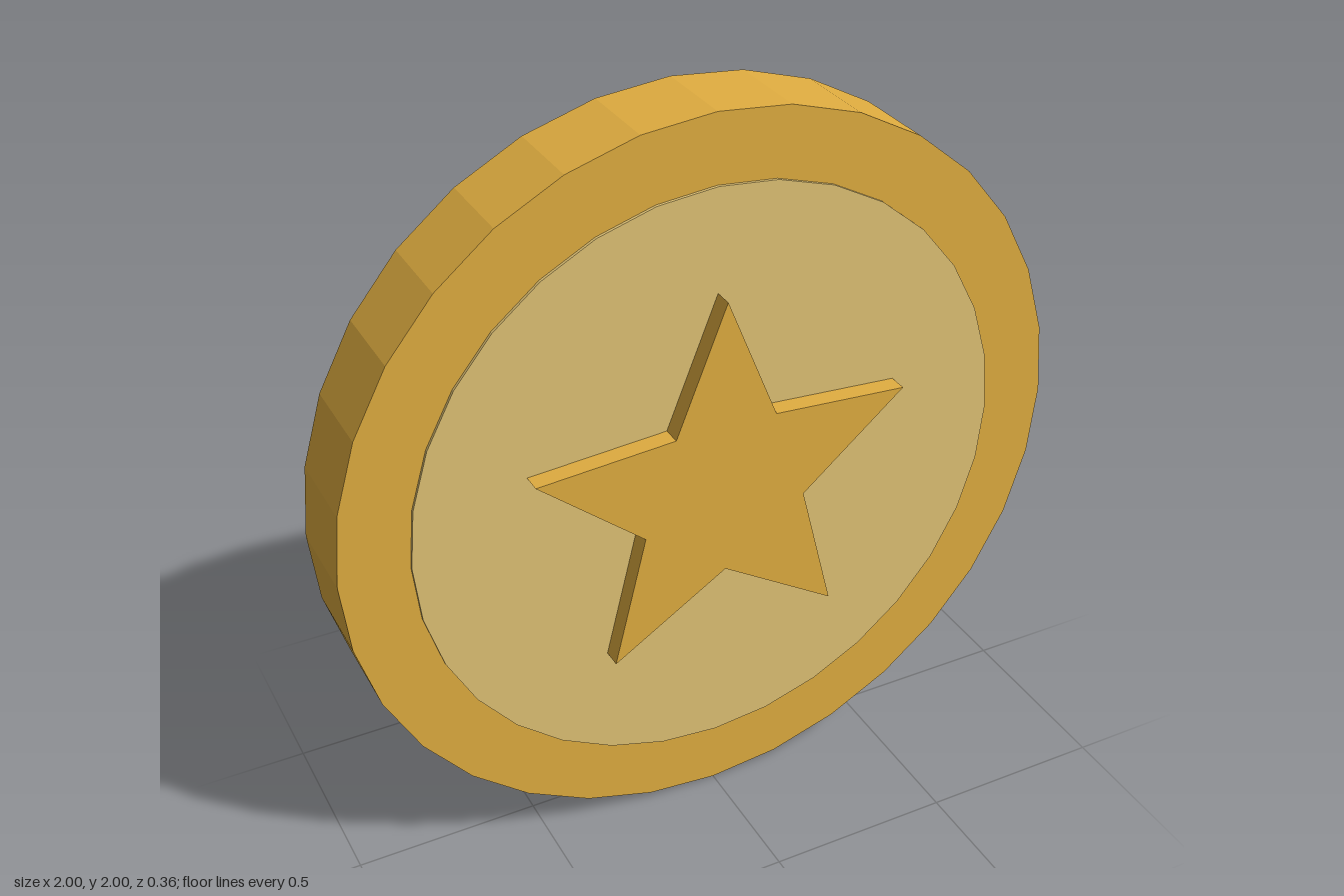
import * as THREE from 'three';

export function createModel() {
  const gold = new THREE.MeshStandardMaterial({ color: 0xe0ad40, flatShading: true });
  gold.name = 'gold';
  const paleGold = new THREE.MeshStandardMaterial({ color: 0xe0c274, flatShading: true });
  paleGold.name = 'pale gold';

  const coin = new THREE.Group();
  coin.name = 'coin';

  const add = (name, geometry, material) => {
    const mesh = new THREE.Mesh(geometry, material);
    mesh.name = name;
    mesh.position.y = 1;
    coin.add(mesh);
    return mesh;
  };

  // A 32-sided disc standing upright, facing z
  const disc = (radius, depth) =>
    new THREE.CylinderGeometry(radius, radius, depth, 32).rotateX(Math.PI / 2);

  // Coin body, and the slightly raised paler face on both sides
  add('body', disc(1, 0.24), gold);
  add('facePlate', disc(0.818, 0.256), paleGold);

  // Five-pointed star with one point up
  const points = [];
  for (let i = 0; i < 10; i++) {
    const r = i % 2 ? 0.238 : 0.54;
    const a = Math.PI / 2 + (i * Math.PI) / 5;
    points.push(new THREE.Vector2(r * Math.cos(a), r * Math.sin(a)));
  }
  const star = new THREE.ExtrudeGeometry(new THREE.Shape(points), { depth: 0.06, bevelEnabled: false });
  star.translate(0, 0, 0.12);

  // The rear star is flipped over the x axis, so it points down
  add('frontStar', star, gold);
  add('backStar', star, gold).rotation.x = Math.PI;

  return coin;
}
